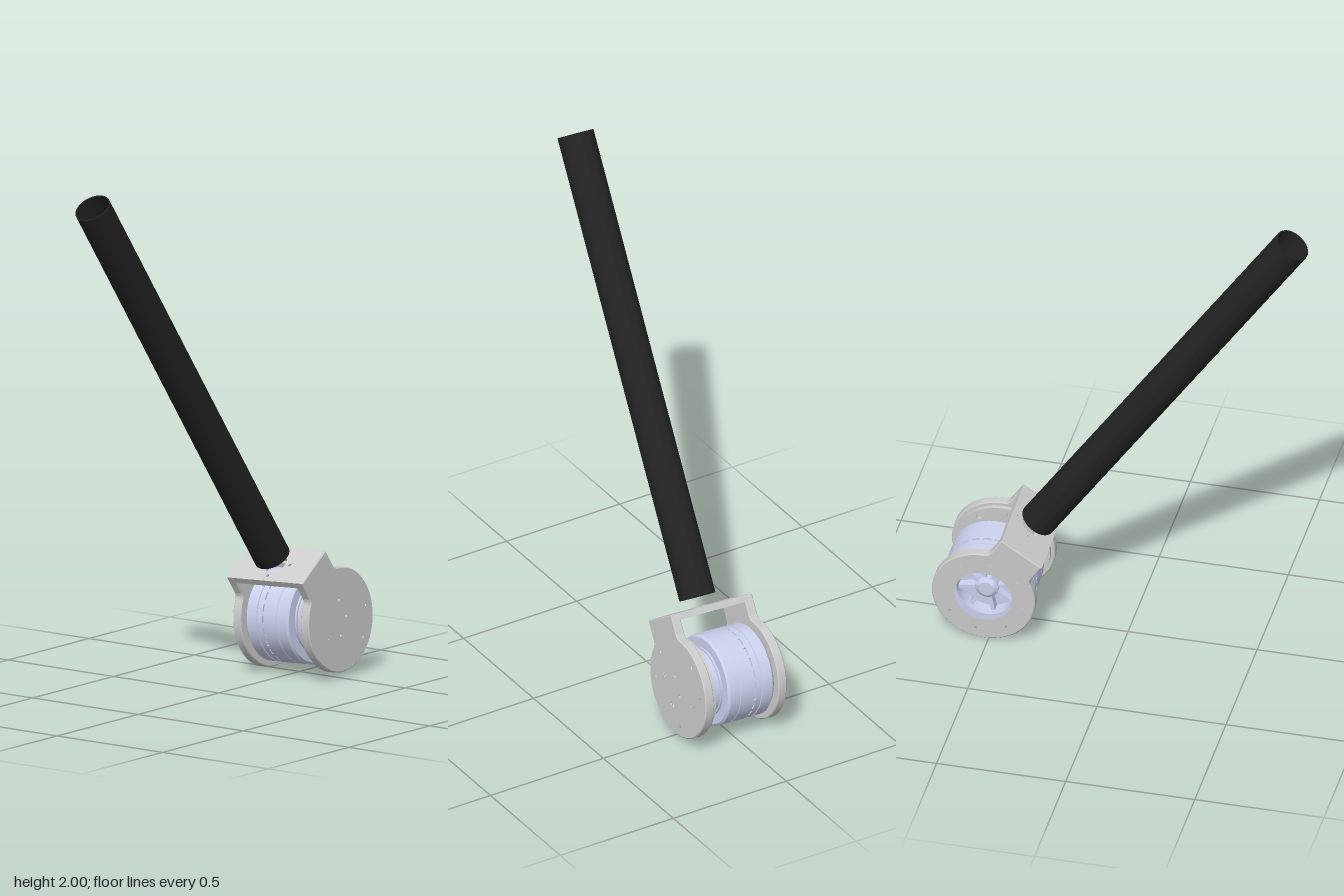
import * as THREE from 'three';
import { toCreasedNormals } from 'three/addons/utils/BufferGeometryUtils.js';

const mat = (color) => new THREE.MeshStandardMaterial({ color });
const grey = mat(0xcccccc);
const blue = mat(0xccd1ee);
const black = mat(0x222222);

function add(parent, name, geometry, material) {
  const mesh = new THREE.Mesh(geometry, material);
  mesh.name = name;
  parent.add(mesh);
  return mesh;
}

function punch(shape, x, y, r) {
  shape.holes.push(new THREE.Path().absarc(x, y, r, 0, Math.PI * 2, true));
}

// ring of round holes around the shape's origin
function punchRing(shape, count, ringRadius, r, start = 0) {
  for (let i = 0; i < count; i++) {
    const a = start + (i / count) * Math.PI * 2;
    punch(shape, Math.cos(a) * ringRadius, Math.sin(a) * ringRadius, r);
  }
}

function slab(shape, depth, bevel = 0.004) {
  const g = new THREE.ExtrudeGeometry(shape, {
    depth: depth - 2 * bevel, bevelEnabled: bevel > 0, bevelThickness: bevel,
    bevelSize: bevel, bevelOffset: -bevel, bevelSegments: 1, curveSegments: 32,
  });
  g.translate(0, 0, bevel);
  return toCreasedNormals(g, 0.5);
}

// profile of [radius, x] pairs turned around the x axis
function turned(profile, segments = 64) {
  const pts = profile.map(([r, x]) => new THREE.Vector2(r, x));
  return toCreasedNormals(new THREE.LatheGeometry(pts, segments).rotateZ(-Math.PI / 2), 0.4);
}

const R = 0.2, NECK = 0.093, TOP = 0.272, SIDE = 0.18, PLATE = 0.037;

// round side plate with a filleted neck
function plateShape(holeRadius) {
  const f = 0.03, cx = NECK + f, cy = Math.sqrt((R + f) ** 2 - cx ** 2);
  const t = Math.atan2(cy, cx);
  const s = new THREE.Shape();
  s.moveTo(-NECK, TOP);
  s.lineTo(NECK, TOP);
  s.absarc(cx, cy, f, Math.PI, Math.PI + t, false);
  s.absarc(0, 0, R, t, Math.PI - t, true);
  s.absarc(-cx, cy, f, -t, 0, false);
  s.closePath();
  punch(s, 0, 0, holeRadius);
  punchRing(s, 8, 0.157, 0.0085, Math.PI / 8);
  return s;
}

function buildBracket() {
  const bracket = new THREE.Group();
  bracket.name = 'bracket';
  add(bracket, 'leftSidePlate', slab(plateShape(0.107), PLATE).rotateY(Math.PI / 2), grey)
    .position.x = SIDE - PLATE;
  add(bracket, 'rightSidePlate', slab(plateShape(0.115), PLATE).rotateY(Math.PI / 2), grey)
    .position.x = -SIDE;

  // disc closing the left plate's opening from inside
  const disc = new THREE.Shape().absarc(0, 0, 0.185, 0, Math.PI * 2, false);
  punchRing(disc, 6, 0.08, 0.006, Math.PI / 6 - 0.05);
  punchRing(disc, 8, 0.157, 0.012, Math.PI / 8);
  add(bracket, 'bearingDisc', slab(disc, 0.018, 0).rotateY(Math.PI / 2), grey).position.x = 0.126;

  // bridge joining the plates below the tube
  const w = SIDE - 0.004;
  const top = new THREE.Shape();
  top.moveTo(-w, -NECK);
  top.lineTo(w, -NECK);
  top.lineTo(w, NECK);
  top.lineTo(-w, NECK);
  top.closePath();
  punch(top, 0, 0, 0.045);
  punchRing(top, 4, 0.066, 0.007);
  add(bracket, 'bridge', slab(top, 0.026, 0).rotateX(-Math.PI / 2), grey).position.y = TOP - 0.026;
  return bracket;
}

function buildMotor() {
  const motor = new THREE.Group();
  motor.name = 'motor';
  // housing with grooves and a hollow back
  add(motor, 'motorHousing', turned([
    [0, -0.085], [0.112, -0.085], [0.112, -0.143], [0.165, -0.143], [0.177, -0.131],
    [0.177, -0.086], [0.173, -0.085], [0.173, -0.081], [0.177, -0.08],
    [0.177, -0.058], [0.17, -0.058], [0.17, -0.05], [0.178, -0.05],
    [0.178, 0.01], [0.176, 0.011], [0.176, 0.014], [0.178, 0.015],
    [0.178, 0.056], [0.17, 0.064], [0, 0.064],
  ]), blue);
  add(motor, 'outputFlange', turned([
    [0, 0.05], [0.135, 0.05], [0.135, 0.072], [0.128, 0.072], [0.128, 0.1], [0.122, 0.106],
    [0.06, 0.106], [0.06, 0.096], [0, 0.096],
  ], 24), blue);

  // teeth breaking the vent groove into slots
  const teeth = new THREE.Group();
  teeth.name = 'ventTeeth';
  for (let i = 0; i < 24; i++) {
    const pivot = new THREE.Group();
    pivot.rotation.x = (i / 24) * Math.PI * 2;
    add(pivot, 'ventTooth', new THREE.BoxGeometry(0.009, 0.01, 0.016), blue).position.set(-0.054, 0.172, 0);
    teeth.add(pivot);
  }
  motor.add(teeth);

  // hub and spokes in the hollow back
  add(motor, 'backHub', turned([[0, -0.135], [0.03, -0.135], [0.045, -0.125], [0.045, -0.08]].map(
    ([r, x]) => [r, x]), 32), blue);
  for (let i = 0; i < 8; i++) {
    const pivot = new THREE.Group();
    pivot.rotation.x = (i / 8) * Math.PI * 2;
    add(pivot, 'backSpoke', new THREE.BoxGeometry(0.035, 0.075, 0.016), blue).position.set(-0.1, 0.078, 0);
    motor.add(pivot);
  }

  // small bolts on the output flange
  for (let i = 0; i < 8; i++) {
    const a = (i / 8) * Math.PI * 2;
    add(motor, 'flangeBolt', new THREE.CylinderGeometry(0.007, 0.007, 0.006, 12).rotateZ(Math.PI / 2), blue)
      .position.set(0.107, Math.cos(a) * 0.095, Math.sin(a) * 0.095);
  }
  return motor;
}

function buildTube() {
  const start = 0.31, end = 2.113, r = 0.07, wall = 0.005;
  const pts = [[r - wall, start], [r, start], [r, end], [r - wall, end], [r - wall, start]];
  const g = new THREE.LatheGeometry(pts.map(([x, y]) => new THREE.Vector2(x, y)), 48);
  const tube = new THREE.Mesh(toCreasedNormals(g, 0.5), black);
  tube.name = 'tube';
  return tube;
}

export function createModel() {
  const model = new THREE.Group();
  model.name = 'motorArm';

  // local x is the motor axis, local y runs along the tube
  const arm = new THREE.Group();
  arm.name = 'arm';
  const along = new THREE.Vector3(-0.0453, 0.829, 0.557).normalize();
  const axle = new THREE.Vector3(0.9985, 0.0546, 0).addScaledVector(along, -along.dot(new THREE.Vector3(0.9985, 0.0546, 0))).normalize();
  const side = new THREE.Vector3().crossVectors(axle, along);
  arm.quaternion.setFromRotationMatrix(new THREE.Matrix4().makeBasis(axle, along, side));
  arm.position.set(0.002, 0.21, -0.518);
  arm.add(buildBracket(), buildMotor(), buildTube());
  model.add(arm);
  return model;
}
